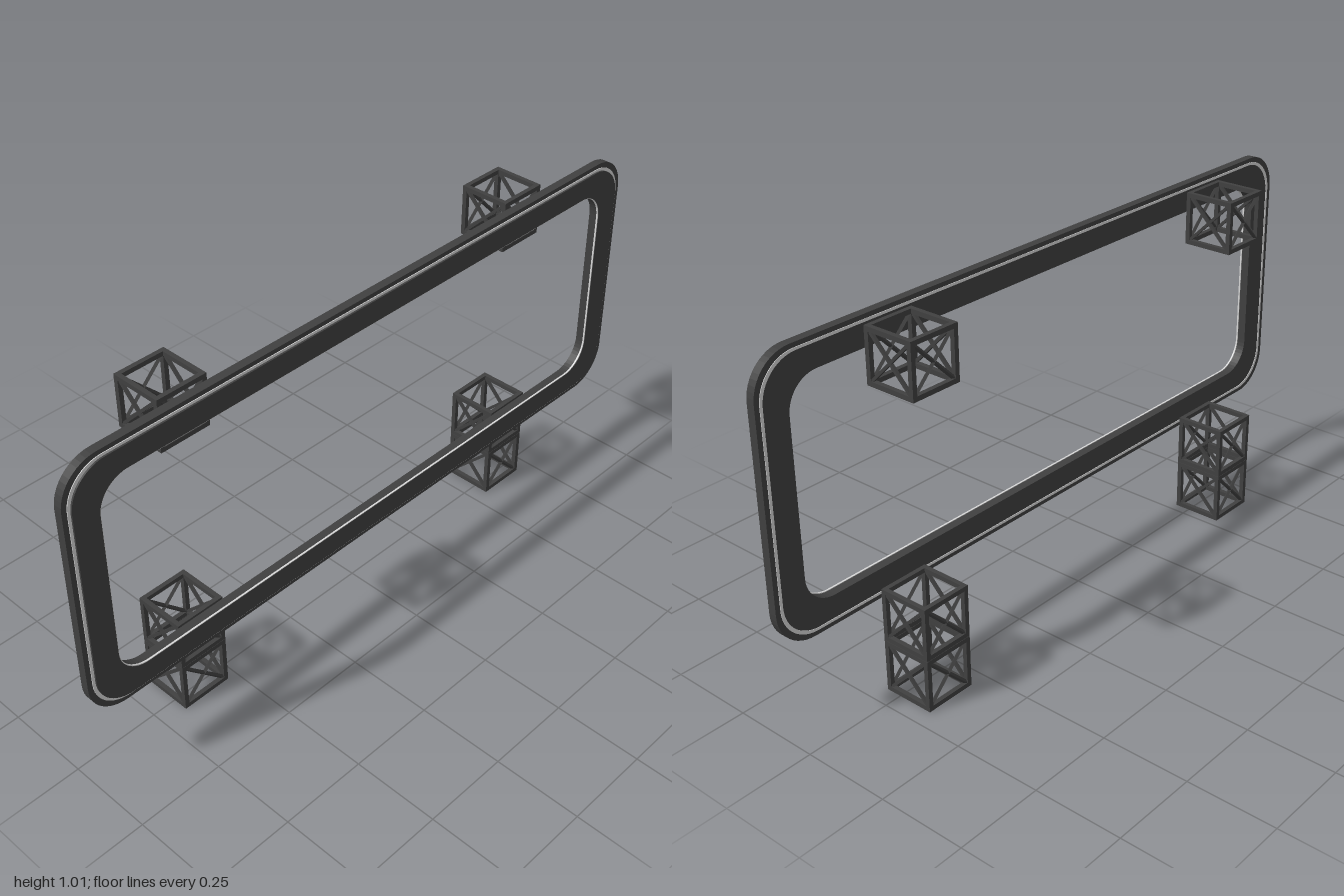
import * as THREE from 'three';

const dark = new THREE.MeshStandardMaterial({ name: 'darkMetal', color: 0x404040 });
const light = new THREE.MeshStandardMaterial({ name: 'lightTrim', color: 0xd8d8d8 });

const CY = 0.632;

// Rounded rectangle outline centred on the frame
function outline(Target, halfW, halfH, r) {
  const s = new Target();
  s.moveTo(halfW, CY);
  s.lineTo(halfW, CY + halfH - r);
  s.absarc(halfW - r, CY + halfH - r, r, 0, Math.PI / 2);
  s.absarc(-halfW + r, CY + halfH - r, r, Math.PI / 2, Math.PI);
  s.absarc(-halfW + r, CY - halfH + r, r, Math.PI, Math.PI * 1.5);
  s.absarc(halfW - r, CY - halfH + r, r, Math.PI * 1.5, Math.PI * 2);
  s.closePath();
  return s;
}

// Ring between two insets from the frame's outer edge
function ring(name, outer, inner, z0, z1, material) {
  const at = (T, d) => outline(T, 1 - d, 0.382 - d * 0.88, 0.11 - d * 0.25);
  const shape = at(THREE.Shape, outer);
  shape.holes.push(at(THREE.Path, inner));
  const geo = new THREE.ExtrudeGeometry(shape, { depth: z1 - z0, bevelEnabled: false, curveSegments: 6 });
  geo.translate(0, 0, z0);
  const mesh = new THREE.Mesh(geo, material);
  mesh.name = name;
  return mesh;
}

// Square bar between two points
function bar(name, a, b, t) {
  const dir = b.clone().sub(a);
  const mesh = new THREE.Mesh(new THREE.BoxGeometry(t, t, dir.length()), dark);
  mesh.position.copy(a).add(b).multiplyScalar(0.5);
  mesh.quaternion.setFromUnitVectors(new THREE.Vector3(0, 0, 1), dir.normalize());
  mesh.name = name;
  return mesh;
}

// Open cube of bars with crossed braces on its four upright sides
function trussCube(x, y, z) {
  const g = new THREE.Group();
  g.name = 'trussCube';
  const t = 0.013, h = 0.075 - t / 2, e = 0.075;
  const v = (a, b, c) => new THREE.Vector3(a, b, c);
  for (const i of [-1, 1]) for (const j of [-1, 1]) {
    g.add(bar('trussRail', v(-e, i * h, j * h), v(e, i * h, j * h), t));
    g.add(bar('trussPost', v(i * h, -e, j * h), v(i * h, e, j * h), t));
    g.add(bar('trussRail', v(i * h, j * h, -e), v(i * h, j * h, e), t));
    g.add(bar('trussBrace', v(-h, -j * h, i * h), v(h, j * h, i * h), 0.008));
    g.add(bar('trussBrace', v(i * h, -j * h, -h), v(i * h, j * h, h), 0.008));
  }
  g.position.set(x, y, z);
  return g;
}

export function createModel() {
  const model = new THREE.Group();
  model.name = 'frameOnTrusses';

  // Frame body with a raised front lip
  model.add(ring('frameBody', 0, 0.094, 0.076, 0.1, dark));
  model.add(ring('frontLip', 0.022, 0.094, 0.1, 0.107, dark));

  // Light trim lines around the outer and inner edges
  model.add(ring('outerFrontTrim', 0.014, 0.022, 0.1, 0.102, light));
  model.add(ring('outerBackTrim', 0.014, 0.022, 0.0745, 0.076, light));
  model.add(ring('innerTrim', 0.0935, 0.096, 0.101, 0.106, light));

  // Truss cubes: two stacked below and one above on each side
  for (const x of [-0.603, 0.625])
    for (const y of [0.075, 0.226, 0.93]) model.add(trussCube(x, y, -0.03));

  return model;
}
